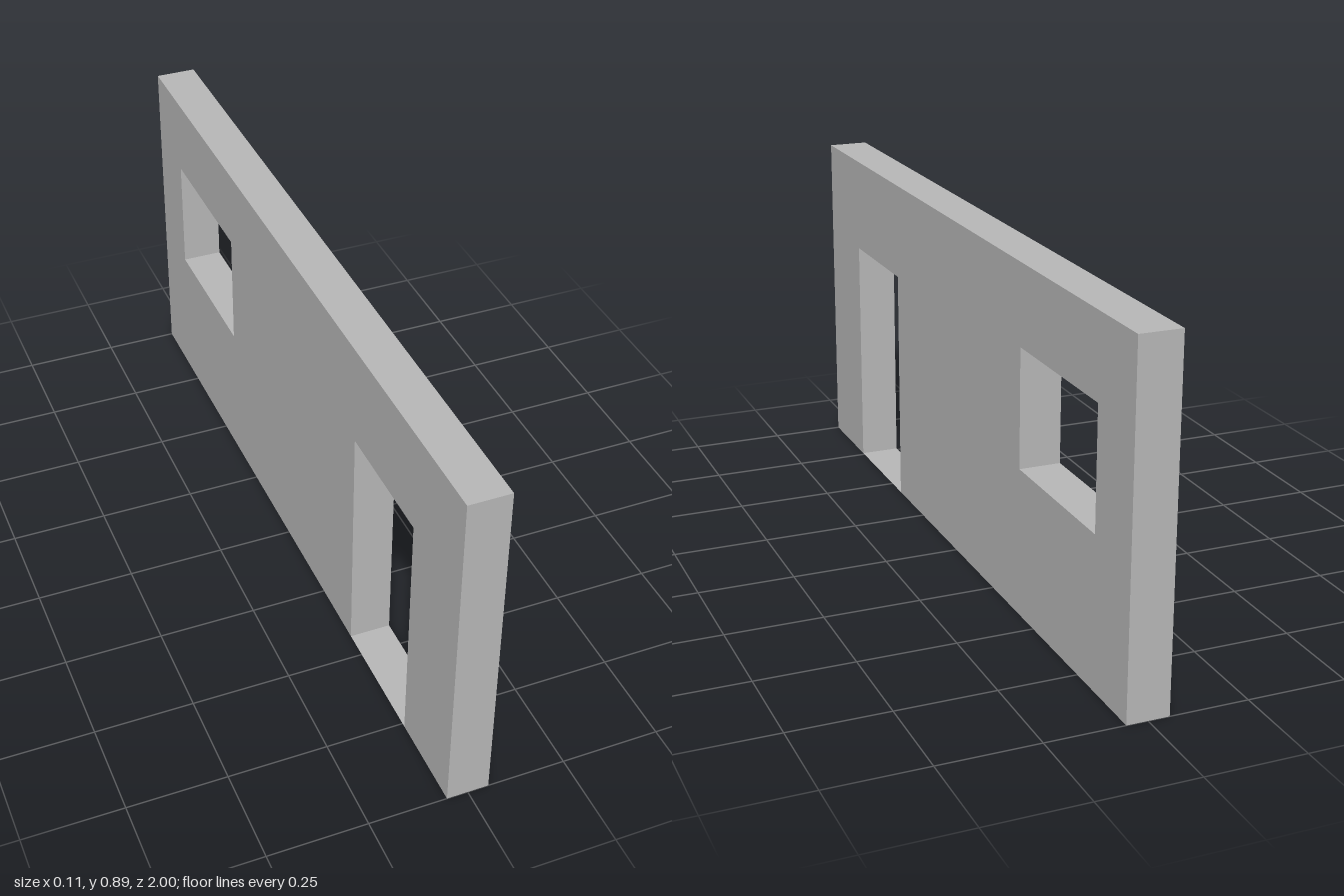
import * as THREE from 'three';

const HALF = 0.053; // half the wall thickness
const TOP = 0.89;

export function createModel() {
  const group = new THREE.Group();
  group.name = 'wall';
  const plaster = new THREE.MeshStandardMaterial({ color: 0xb8b8b8, side: THREE.DoubleSide });
  plaster.name = 'grey plaster';

  const add = (name, geometry) => {
    geometry.rotateY(Math.PI / 2); // drawn in XY, then turned to run along z
    const mesh = new THREE.Mesh(geometry, plaster);
    mesh.name = name;
    group.add(mesh);
  };

  // A strip across the thickness along a line of points, facing right of travel
  const strip = (points) => {
    const pos = [];
    for (let i = 0; i < points.length - 1; i++) {
      const [ax, ay] = points[i], [bx, by] = points[i + 1];
      const a = [ax, ay, HALF], b = [ax, ay, -HALF], c = [bx, by, -HALF], d = [bx, by, HALF];
      pos.push(...a, ...b, ...c, ...a, ...c, ...d);
    }
    const g = new THREE.BufferGeometry();
    g.setAttribute('position', new THREE.Float32BufferAttribute(pos, 3));
    g.computeVertexNormals();
    return g;
  };

  // Outlines: horizontal runs towards -z, vertical is height
  const outer = [[1, 0], [1, TOP], [-1, TOP], [-1, 0]];
  const door = [[-0.76, 0], [-0.76, 0.635], [-0.43, 0.635], [-0.43, 0]];
  const win = [[0.41, 0.38], [0.41, 0.685], [0.825, 0.685], [0.825, 0.38]];
  const vec = (list) => list.map(([x, y]) => new THREE.Vector2(x, y));

  // Broad faces with the doorway notch and the window hole
  const shape = new THREE.Shape(vec([...outer, ...door]));
  shape.holes.push(new THREE.Path(vec(win)));
  const left = new THREE.ShapeGeometry(shape);
  const right = left.clone();
  right.setIndex(Array.from(right.index.array).reverse());
  right.computeVertexNormals();
  add('leftFace', left.translate(0, 0, HALF));
  add('rightFace', right.translate(0, 0, -HALF));

  // Ends and top; the underside is open
  add('endsAndTop', strip(outer));
  // Door and window reveals, each closed by its sill
  add('doorReveal', strip([...door, door[0]]));
  add('windowReveal', strip([...win, win[0]]));

  return group;
}
